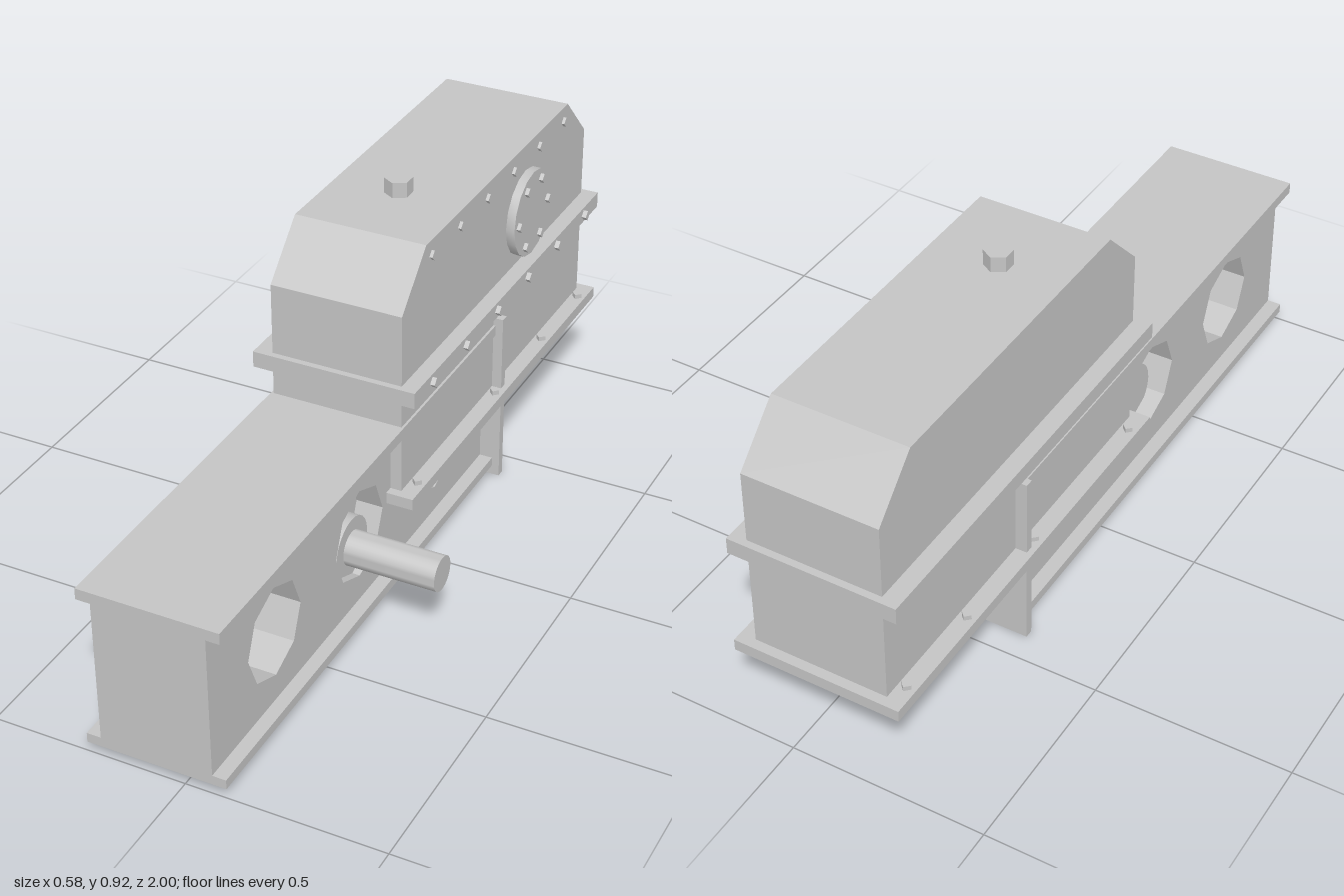
import * as THREE from 'three';
import { toCreasedNormals } from 'three/addons/utils/BufferGeometryUtils.js';

export function createModel() {
  const model = new THREE.Group();
  const grey = new THREE.MeshStandardMaterial({ color: 0xc4c4c4 });
  grey.name = 'machine grey';

  const add = (name, geometry) => {
    const mesh = new THREE.Mesh(geometry, grey);
    mesh.name = name;
    model.add(mesh);
    return mesh;
  };

  // Box given by its limits on each axis
  const box = (name, [x0, x1], [y0, y1], [z0, z1]) =>
    add(name, new THREE.BoxGeometry(x1 - x0, y1 - y0, z1 - z0))
      .position.set((x0 + x1) / 2, (y0 + y1) / 2, (z0 + z1) / 2);

  // Cylinder lying along x
  const rodX = (name, radius, x0, x1, y, z, sides = 24) => {
    const g = new THREE.CylinderGeometry(radius, radius, x1 - x0, sides);
    g.rotateZ(-Math.PI / 2);
    add(name, toCreasedNormals(g, 0.6)).position.set((x0 + x1) / 2, y, z);
  };

  // Side profile of [z, y] points, extruded from x0 to x1
  const profile = (name, points, x0, x1, holes = []) => {
    const shape = new THREE.Shape(points.map(([z, y]) => new THREE.Vector2(-z, y)));
    for (const [z, y, r] of holes) {
      const pts = [];
      for (let i = 0; i < 8; i++) {
        const a = i * Math.PI / 4;
        pts.push(new THREE.Vector2(-z + r * Math.cos(a), y + r * Math.sin(a)));
      }
      shape.holes.push(new THREE.Path(pts));
    }
    const g = new THREE.ExtrudeGeometry(shape, { depth: x1 - x0, bevelEnabled: false });
    g.rotateY(Math.PI / 2);
    add(name, g).position.x = x0;
  };

  // Support beam with through holes, flanges and end plate
  profile('beamWeb', [[1, 0.05], [-0.41, 0.05], [-0.41, 0.425], [1, 0.425]], -0.215, 0.07,
    [[0.705, 0.24, 0.122], [0.287, 0.24, 0.122], [-0.13, 0.24, 0.122]]);
  box('beamTopFlange', [-0.252, 0.105], [0.423, 0.452], [-0.41, 1]);
  box('beamBottomFlange', [-0.252, 0.105], [0.025, 0.05], [-0.41, 1]);
  box('endPlate', [-0.275, 0.125], [0, 0.473], [-0.43, -0.408]);

  // Gear housing
  box('housingBase', [-0.29, 0.14], [0.24, 0.27], [-1, 0.145]);
  box('lowerHousing', [-0.245, 0.099], [0.27, 0.525], [-0.975, 0.122]);
  box('jointFlange', [-0.29, 0.14], [0.524, 0.566], [-0.993, 0.138]);
  profile('upperHousing', [[0.122, 0.566], [-0.975, 0.566], [-0.975, 0.753], [-0.85, 0.88],
    [-0.005, 0.88], [0.122, 0.753]], -0.245, 0.099);
  const plug = new THREE.CylinderGeometry(0.035, 0.035, 0.04, 6);
  add('fillerPlug', toCreasedNormals(plug, 0.6)).position.set(-0.075, 0.9, -0.215);

  // Inspection cover with a ring of bolts
  rodX('inspectionCover', 0.115, 0.099, 0.122, 0.695, -0.585, 16);
  for (let i = 0; i < 6; i++) {
    const a = i * Math.PI / 3;
    rodX('coverBolt', 0.013, 0.122, 0.132,
      0.695 + 0.09 * Math.sin(a), -0.585 + 0.09 * Math.cos(a), 4);
  }

  // Rows of side bolts
  for (let i = 0; i < 6; i++) {
    rodX('housingBolt', 0.013, 0.099, 0.107, 0.84, -0.035 - i * 0.158, 4);
    rodX('jointBolt', 0.014, 0.14, 0.152, 0.545, 0.04 - i * 0.187, 4);
  }
  for (let i = 0; i < 5; i++) rodX('beamBolt', 0.014, 0.07, 0.08, 0.4, 0.92 - i * 0.18, 4);

  // Hold-down bolts on both sides of the base
  for (const x of [-0.266, 0.119]) for (const z of [0.075, -0.38, -0.68, -0.93]) {
    const g = new THREE.CylinderGeometry(0.013, 0.013, 0.012, 4);
    add('baseBolt', toCreasedNormals(g, 0.6)).position.set(x, 0.276, z);
  }

  // Output shaft, its hub and the link inside the beam
  rodX('outputShaft', 0.045, 0.04, 0.287, 0.195, 0.288, 32);
  rodX('shaftHub', 0.08, -0.17, 0.05, 0.195, 0.288);
  box('driveLink', [-0.14, 0], [0.16, 0.257], [-0.4, 0.288]);
  rodX('linkPin', 0.014, 0, 0.012, 0.2, -0.145, 4);

  // Drive motor tucked under the housing
  rodX('motorBody', 0.095, -0.2, 0.01, 0.24, -0.44);
  rodX('motorShaft', 0.036, -0.232, 0.09, 0.24, -0.44, 16);
  profile('motorBracket', [[-0.44, 0.19], [-0.57, 0.19], [-0.57, 0.21], [-0.665, 0.235],
    [-0.665, 0.25], [-0.44, 0.25]], -0.13, -0.06);

  return model;
}
